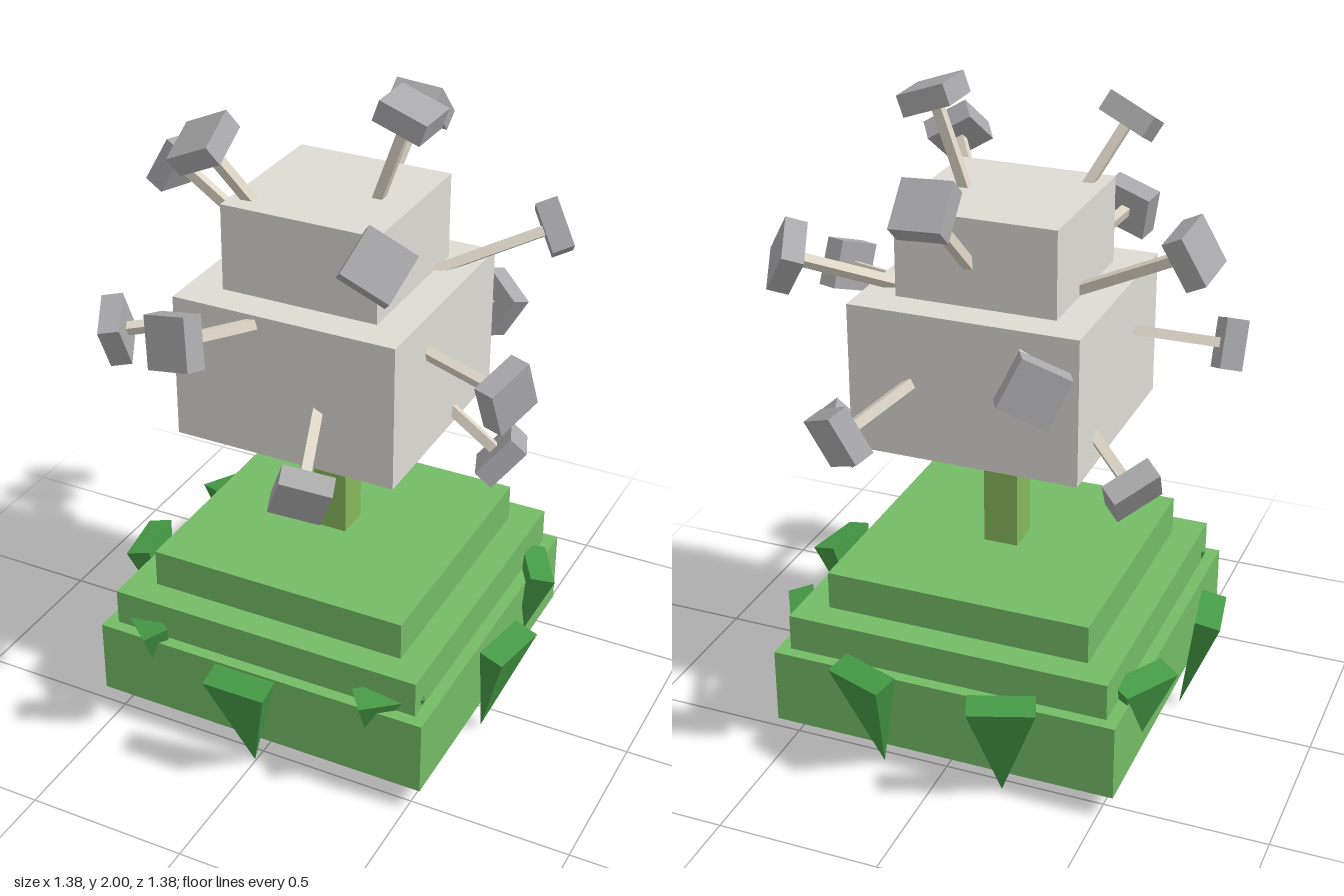
import * as THREE from 'three';

const paint = (color) => new THREE.MeshStandardMaterial({ color, flatShading: true });
const GREEN = paint(0x74bb66), STEM = paint(0x84b85a), LEAF = paint(0x469a46);
const PALE = paint(0xdddbd4), STALK = paint(0xddd5c6), HEAD = paint(0xa9a9ab);
const CX = -0.004, CZ = -0.015;

function block(name, width, bottom, top, material) {
  const mesh = new THREE.Mesh(new THREE.BoxGeometry(width, top - bottom, width), material);
  mesh.name = name;
  mesh.position.set(CX, (bottom + top) / 2, CZ);
  return mesh;
}

export function createModel() {
  const model = new THREE.Group();

  // stepped base, stem and two-block bloom
  model.add(
    block('baseLower', 1.085, 0.08, 0.32, GREEN),
    block('baseMiddle', 1.01, 0.32, 0.435, GREEN),
    block('baseUpper', 0.83, 0.435, 0.555, GREEN),
    block('stem', 0.108, 0.555, 0.965, STEM),
    block('bloomLower', 0.7, 0.965, 1.415, PALE),
    block('bloomUpper', 0.49, 1.415, 1.68, PALE)
  );

  // ring of nine spikes pointing down, leaning outward at the top
  const spikeGeo = new THREE.CylinderGeometry(0.1 * Math.SQRT2, 0, 0.365, 4)
    .rotateY(Math.PI / 4).scale(1, 1, 0.4)
    .translate(0, 0.1825, 0).rotateX(0.235).translate(0, 0.005, 0.56);
  const spikes = new THREE.Group();
  spikes.name = 'spikes';
  for (let i = 0; i < 9; i++) {
    const spike = new THREE.Mesh(spikeGeo, LEAF);
    spike.name = 'spike';
    spike.position.set(CX, 0, CZ);
    spike.rotation.y = i * Math.PI * 2 / 9;
    spikes.add(spike);
  }
  model.add(spikes);

  // stalks with block heads, spread over a sphere by the golden angle
  const R = 0.672;
  const stalkGeo = new THREE.BoxGeometry(0.03, 0.54, 0.03).translate(0, R - 0.27, 0);
  const headGeo = new THREE.BoxGeometry(0.152, 0.066, 0.152).translate(0, R, 0);
  const up = new THREE.Vector3(0, 1, 0);
  for (let i = 0; i < 14; i++) {
    const y = 0.943 - 0.123 * i, r = Math.sqrt(1 - y * y);
    const a = i * Math.PI * (3 - Math.sqrt(5));
    const stamen = new THREE.Group();
    stamen.name = 'stamen';
    const stalk = new THREE.Mesh(stalkGeo, STALK);
    stalk.name = 'stalk';
    const head = new THREE.Mesh(headGeo, HEAD);
    head.name = 'stalkHead';
    stamen.add(stalk, head);
    stamen.position.set(CX, 1.31, CZ);
    stamen.quaternion.setFromUnitVectors(up, new THREE.Vector3(r * Math.cos(a), y, r * Math.sin(a)));
    model.add(stamen);
  }
  return model;
}
